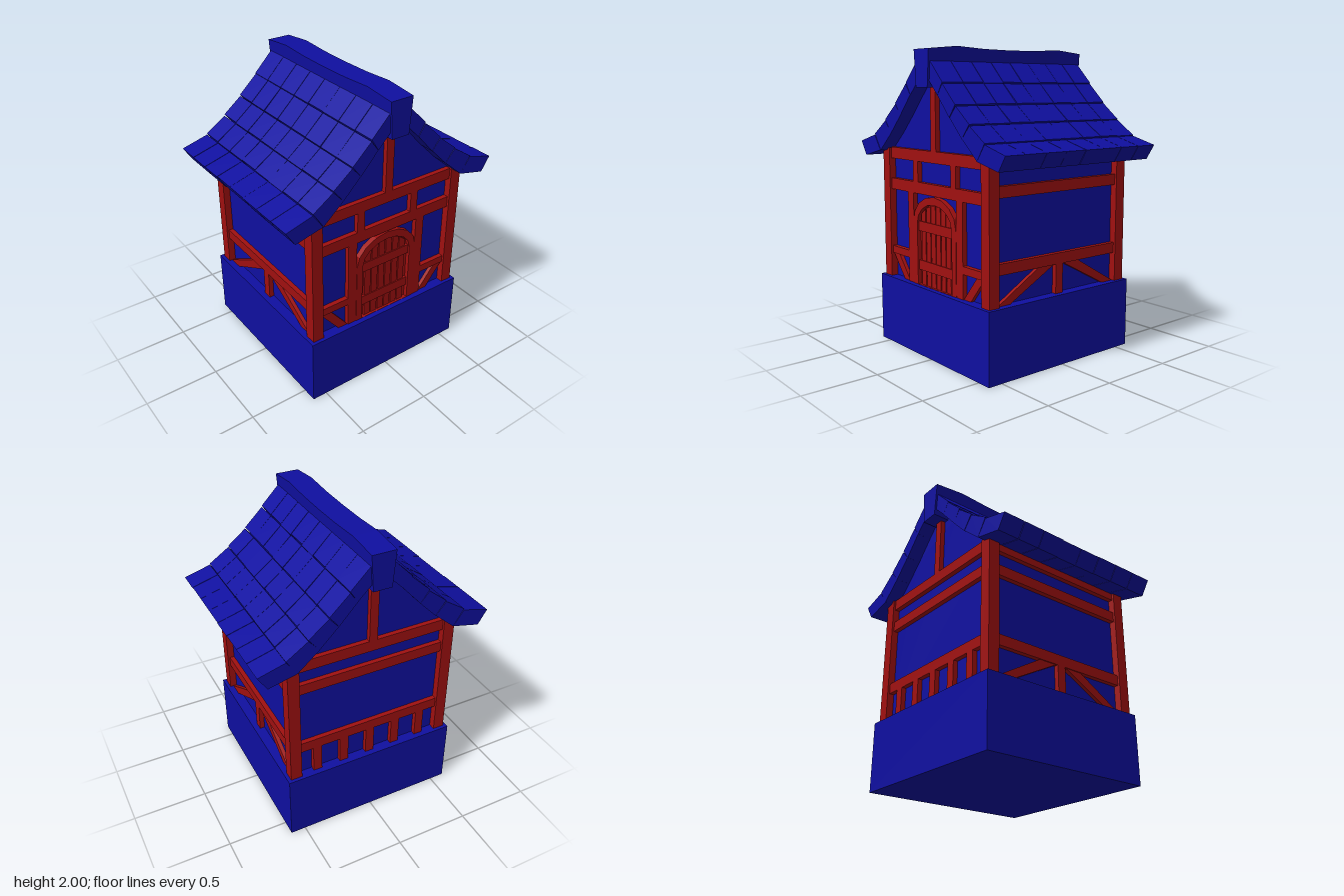
import * as THREE from 'three';

const blue = new THREE.MeshStandardMaterial({ color: 0x0f0fa0, flatShading: true });
const red = new THREE.MeshStandardMaterial({ color: 0xa01010, flatShading: true });

// Small seeded generator for the uneven tiles
let seed = 7;
const rnd = () => (seed = (seed * 16807) % 2147483647) / 2147483647;

function add(parent, name, geometry, material) {
  const m = new THREE.Mesh(geometry, material);
  m.name = name;
  parent.add(m);
  return m;
}

function box(parent, name, material, x0, x1, y0, y1, z0, z1) {
  const m = add(parent, name, new THREE.BoxGeometry(x1 - x0, y1 - y0, z1 - z0), material);
  m.position.set((x0 + x1) / 2, (y0 + y1) / 2, (z0 + z1) / 2);
  return m;
}

const toShape = (pts) => new THREE.Shape(pts.map(([x, y]) => new THREE.Vector2(x, y)));

function slab(parent, name, material, shape, z0, z1) {
  const geo = new THREE.ExtrudeGeometry(shape, { depth: z1 - z0, bevelEnabled: false });
  geo.translate(0, 0, z0);
  return add(parent, name, geo, material);
}

// Outline of an arched opening: straight sides, faceted elliptical head
function archPoints(w, base, spring, rise, n = 8) {
  const pts = [[-w, base], [w, base]];
  for (let i = 0; i <= n; i++) {
    const a = (Math.PI * i) / n;
    pts.push([Math.cos(a) * w, spring + Math.sin(a) * rise]);
  }
  return pts;
}

// A facade is built facing +z, then turned to its side of the house
function facade(parent, name, angle) {
  const g = new THREE.Group();
  g.name = name;
  g.rotation.y = angle;
  parent.add(g);
  return g;
}

const IN = 0.5, OUT = 0.562, FLOOR = 0.46;
const beam = (g, name, x0, x1, y0, y1, out = OUT) => box(g, name, red, x0, x1, y0, y1, IN, out);

function mirroredBrace(g, pts) {
  for (const s of [1, -1]) slab(g, 'brace', red, toShape(pts.map(([x, y]) => [s * x, y])), IN, 0.555);
}

// Long walls under the eaves
function eaveFacade(parent, name, angle) {
  const g = facade(parent, name, angle);
  beam(g, 'topPlate', -0.5, 0.5, 1.275, 1.35);
  beam(g, 'upperRail', -0.5, 0.5, 1.11, 1.18);
  beam(g, 'lowerRail', -0.5, 0.5, 0.65, 0.72);
  beam(g, 'centreStud', -0.03, 0.03, FLOOR, 0.65);
  mirroredBrace(g, [[0.5, FLOOR], [0.4, FLOOR], [0.04, 0.65], [0.17, 0.65]]);
}

// Gable wall with the arched door
function doorFacade(parent, angle) {
  const g = facade(parent, 'doorWall', angle);
  beam(g, 'tieBeam', -0.5, 0.5, 1.275, 1.35);
  beam(g, 'doorLintel', -0.5, 0.5, 1.065, 1.14);
  beam(g, 'gablePost', -0.028, 0.028, 1.35, 1.8);
  for (const s of [1, -1]) {
    const stud = (name, a, b, y0, y1) => beam(g, name, Math.min(s * a, s * b), Math.max(s * a, s * b), y0, y1);
    stud('upperStud', 0.18, 0.235, 1.14, 1.275);
    stud('doorPost', 0.235, 0.3, FLOOR, 1.065);
    stud('sideRail', 0.3, 0.5, 0.62, 0.67);
  }
  mirroredBrace(g, [[0.5, 0.62], [0.43, 0.62], [0.3, FLOOR], [0.37, FLOOR]]);

  const frame = toShape(archPoints(0.235, FLOOR, 0.88, 0.18));
  frame.holes.push(new THREE.Path(archPoints(0.19, FLOOR + 0.002, 0.87, 0.14).map((p) => new THREE.Vector2(...p))));
  slab(g, 'doorFrame', red, frame, IN, 0.565);
  slab(g, 'doorBacking', red, toShape(archPoints(0.192, FLOOR, 0.87, 0.14)), IN, 0.537);

  // Planks follow the arch, held by two cross bars
  const top = (x) => 0.86 + 0.14 * Math.sqrt(Math.max(0, 1 - (x / 0.19) ** 2));
  for (let i = 0; i < 6; i++) {
    const a = -0.165 + i * 0.055 + 0.004, b = a + 0.047;
    slab(g, 'doorPlank', red, toShape([[a, FLOOR], [b, FLOOR], [b, top(b)], [a, top(a)]]), 0.53, 0.55);
  }
  for (const y of [0.56, 0.82]) box(g, 'doorBar', red, -0.185, 0.185, y, y + 0.065, 0.53, 0.556);
}

// Gable wall opposite the door, with a row of short studs
function plainGableFacade(parent, angle) {
  const g = facade(parent, 'studWall', angle);
  beam(g, 'tieBeam', -0.5, 0.5, 1.275, 1.35);
  beam(g, 'upperRail', -0.5, 0.5, 1.11, 1.18);
  beam(g, 'lowerRail', -0.5, 0.5, 0.65, 0.72);
  beam(g, 'gablePost', -0.028, 0.028, 1.35, 1.8);
  for (let i = -2; i <= 2; i++) beam(g, 'shortStud', i * 0.19 - 0.03, i * 0.19 + 0.03, FLOOR, 0.65);
}

// Curved roof slope: thick tiles between an upper and a lower profile
const upper = [[0.05, 1.93], [0.2, 1.77], [0.33, 1.64], [0.46, 1.53], [0.6, 1.43], [0.78, 1.38]];
const lower = [[0.03, 1.82], [0.15, 1.7], [0.27, 1.57], [0.39, 1.45], [0.53, 1.33], [0.72, 1.285]];

function roofSlope(parent, name, side) {
  const g = new THREE.Group();
  g.name = name;
  g.rotation.y = side > 0 ? 0 : Math.PI;
  parent.add(g);
  const cols = 8, half = 0.63, w = (2 * half) / cols;
  for (let r = 0; r < 5; r++) {
    for (let c = 0; c < cols; c++) {
      const lift = r < 4 ? 0.005 + rnd() * 0.005 : 0;
      const slip = (rnd() - 0.5) * 0.006;
      const gap = 0.0005 + rnd() * 0.002;
      const [a, b, d, e] = [upper[r], upper[r + 1], lower[r + 1], lower[r]];
      const pts = [a, [b[0] + slip, b[1] + lift], [d[0] + slip, d[1]], e].map(([z, y]) => [-z, y]);
      const x0 = -half + c * w;
      const geo = new THREE.ExtrudeGeometry(toShape(pts), { depth: w - 2 * gap, bevelEnabled: false });
      geo.translate(0, 0, x0 + gap).rotateY(Math.PI / 2);
      add(g, 'roofTile', geo, blue);
    }
  }
}

// Ridge cap: tapered box with a slightly wavy top
function ridge(parent) {
  const geo = new THREE.BoxGeometry(1.284, 1, 1, 6, 1, 1);
  const p = geo.attributes.position;
  const crest = [1.985, 1.988, 2.0, 1.98];
  for (let i = 0; i < p.count; i++) {
    const isTop = p.getY(i) > 0;
    const k = Math.round(Math.abs(p.getX(i)) / 0.214);
    p.setY(i, isTop ? crest[k] : 1.745);
    p.setZ(i, Math.sign(p.getZ(i)) * (isTop ? 0.08 : 0.062));
  }
  geo.computeVertexNormals();
  add(parent, 'ridgeCap', geo, blue);
}

export function createModel() {
  const house = new THREE.Group();
  house.name = 'timberHouse';

  box(house, 'foundation', blue, -0.6, 0.6, 0, FLOOR, -0.6, 0.6);

  // Plastered body including both gables
  const half = [[0.53, FLOOR], [0.53, 1.34], [0.4, 1.46], [0.28, 1.58], [0.16, 1.71], [0.04, 1.83]];
  const outline = [...half, ...half.map(([z, y]) => [-z, y]).reverse()];
  slab(house, 'plasterWalls', blue, toShape(outline), -0.53, 0.53).rotation.y = Math.PI / 2;

  for (const sx of [1, -1]) for (const sz of [1, -1]) {
    const post = box(house, 'cornerPost', red, 0.5, 0.577, FLOOR, 1.345, 0.5, 0.577);
    post.position.x *= sx;
    post.position.z *= sz;
  }

  eaveFacade(house, 'frontWall', 0);
  eaveFacade(house, 'backWall', Math.PI);
  doorFacade(house, Math.PI / 2);
  plainGableFacade(house, -Math.PI / 2);

  roofSlope(house, 'frontRoofSlope', 1);
  roofSlope(house, 'backRoofSlope', -1);
  ridge(house);
  return house;
}
